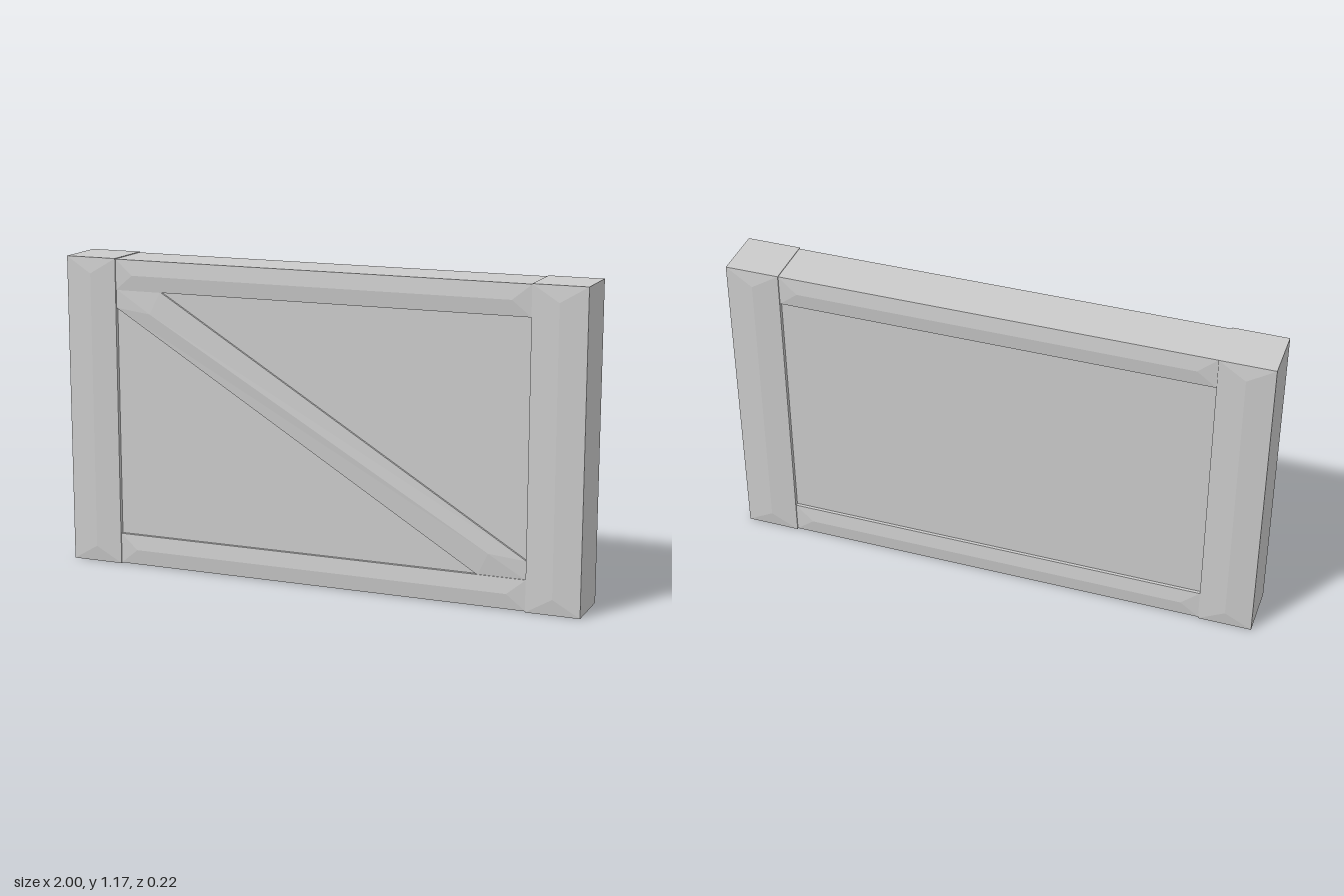
import * as THREE from 'three';

const material = new THREE.MeshStandardMaterial({ color: 0xcccccc, flatShading: true });
const HEIGHT = 1.17;

// Half of a beam: straight walls from z = 0 to edgeZ, then facets rising to a ridge.
// Each outline corner (counter-clockwise) is joined to one of the two ridge ends.
function hippedHalf(outline, ridge, ends, edgeZ, ridgeZ) {
  const pos = [];
  const quad = (a, b, c, d) => pos.push(...a, ...b, ...c, ...a, ...c, ...d);
  outline.forEach((p, i) => {
    const j = (i + 1) % outline.length;
    const q = outline[j];
    const a = [...p, edgeZ], b = [...q, edgeZ];
    const ra = [...ridge[ends[i]], ridgeZ], rb = [...ridge[ends[j]], ridgeZ];
    quad([...p, 0], [...q, 0], b, a);
    if (ends[i] === ends[j]) pos.push(...a, ...b, ...ra);
    else quad(a, b, rb, ra);
  });
  const geometry = new THREE.BufferGeometry();
  geometry.setAttribute('position', new THREE.Float32BufferAttribute(pos, 3));
  geometry.computeVertexNormals();
  return geometry;
}

// Upright beam with the same hipped relief on front and back
function beam(name, length, width, inset, edgeZ, ridgeZ) {
  const w = width / 2, l = length / 2;
  const outline = [[-w, -l], [w, -l], [w, l], [-w, l]];
  const half = hippedHalf(outline, [[0, inset - l], [0, l - inset]], [0, 0, 1, 1], edgeZ, ridgeZ);
  const group = new THREE.Group();
  group.name = name;
  for (const turn of [0, Math.PI]) {
    const mesh = new THREE.Mesh(half, material);
    mesh.name = name + (turn ? 'Back' : 'Front');
    mesh.rotation.y = turn;
    group.add(mesh);
  }
  return group;
}

export function createModel() {
  const model = new THREE.Group();
  model.name = 'bracedPanel';

  // Recessed panel
  const panel = new THREE.Mesh(new THREE.BoxGeometry(1.64, 1.0, 0.17), material);
  panel.name = 'panel';
  panel.position.y = HEIGHT / 2;
  model.add(panel);

  // End posts
  for (const side of [-1, 1]) {
    const post = beam(side > 0 ? 'leftPost' : 'rightPost', HEIGHT, 0.2, 0.06, 0.101, 0.109);
    post.position.set(side * 0.9, HEIGHT / 2, 0);
    model.add(post);
  }

  // Top and bottom rails
  for (const side of [-1, 1]) {
    const rail = beam(side > 0 ? 'topRail' : 'bottomRail', 1.6, 0.115, 0.07, 0.097, 0.104);
    rail.rotation.z = Math.PI / 2;
    rail.position.y = HEIGHT / 2 + side * 0.525;
    model.add(rail);
  }

  // Diagonal brace on the front, cut to fit the frame corners
  const corner = [[-0.8, 0.47], [-0.8, 0.4], [0.62, -0.47]];
  const outline = [...corner, ...corner.map(([x, y]) => [-x, -y])];
  const brace = new THREE.Mesh(
    hippedHalf(outline, [[-0.66, 0.385], [0.66, -0.385]], [0, 0, 1, 1, 1, 0], 0.094, 0.102),
    material
  );
  brace.name = 'diagonalBrace';
  brace.position.y = HEIGHT / 2;
  model.add(brace);

  return model;
}
